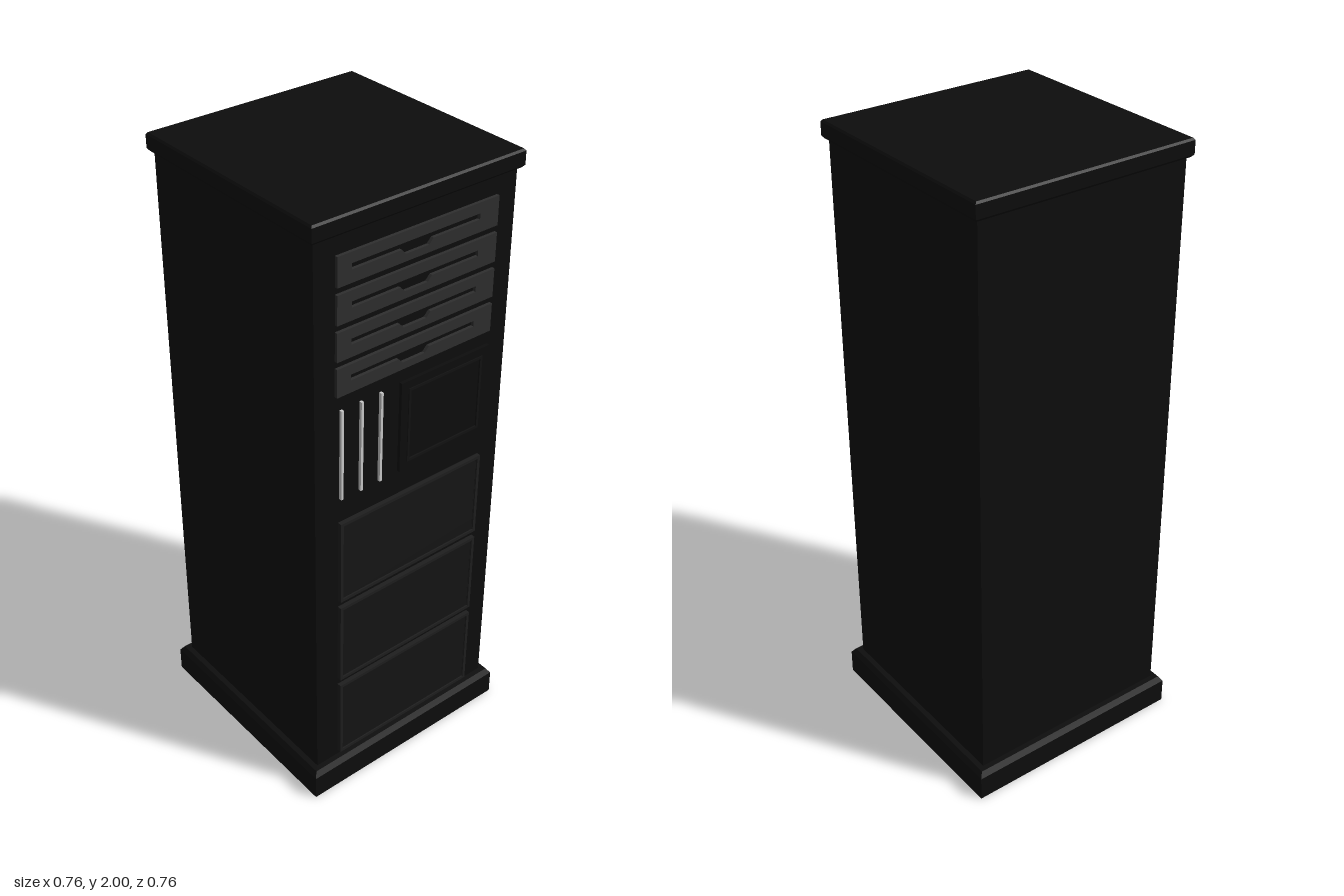
import * as THREE from 'three';

const paint = (color) => new THREE.MeshStandardMaterial({ color, flatShading: true });
const black = paint(0x0d0d0d);
const darkTrim = paint(0x121212);
const frameGrey = paint(0x1e1e1e);
const driveGrey = paint(0x2e2e2e);
const silver = paint(0xcccccc);

const FRONT = 0.35; // front face of the cabinet

function add(parent, name, geometry, material, x = 0, y = 0, z = 0) {
  const mesh = new THREE.Mesh(geometry, material);
  mesh.name = name;
  mesh.position.set(x, y, z);
  parent.add(mesh);
  return mesh;
}

// Square block from [half width, height] profile points
function squareBlock(profile) {
  const points = profile.map(([half, y]) => new THREE.Vector2(half * Math.SQRT2, y));
  return new THREE.LatheGeometry(points, 4, Math.PI / 4);
}

function rectPath(path, w, h) {
  path.moveTo(-w / 2, -h / 2);
  path.lineTo(w / 2, -h / 2);
  path.lineTo(w / 2, h / 2);
  path.lineTo(-w / 2, h / 2);
  path.closePath();
  return path;
}

// Rectangular frame with an open middle
function frameGeometry(w, h, border, depth) {
  const shape = rectPath(new THREE.Shape(), w, h);
  shape.holes.push(rectPath(new THREE.Path(), w - 2 * border, h - 2 * border));
  return new THREE.ExtrudeGeometry(shape, { depth, bevelEnabled: false });
}

// Drive front with a long slot that dips in the middle for a finger grip
function driveGeometry() {
  const shape = rectPath(new THREE.Shape(), 0.56, 0.089);
  const slot = [
    [-0.232, -0.006], [-0.232, 0.012], [0.212, 0.012], [0.212, -0.006],
    [0.045, -0.006], [0.03, -0.022], [-0.05, -0.022], [-0.065, -0.006],
  ];
  shape.holes.push(new THREE.Path(slot.map(([x, y]) => new THREE.Vector2(x, y))));
  return new THREE.ExtrudeGeometry(shape, { depth: 0.01, bevelEnabled: false });
}

// Framed grille with tilted slats
function makeVent(index) {
  const vent = new THREE.Group();
  vent.name = `vent${index + 1}`;
  const w = 0.54, h = 0.291, border = 0.01, count = 7;
  add(vent, 'ventFrame', frameGeometry(w, h, border, 0.014), frameGrey);
  const pitch = (h - 2 * border) / count;
  const slat = new THREE.BoxGeometry(w - 2 * border, pitch * 0.9, 0.005);
  for (let i = 0; i < count; i++) {
    const y = -h / 2 + border + pitch * (i + 0.5);
    add(vent, 'ventSlat', slat, darkTrim, 0, y, 0.006).rotation.x = -0.2;
  }
  vent.position.set(0.002, 0.8915 - index * 0.315, FRONT);
  return vent;
}

export function createModel() {
  const model = new THREE.Group();
  model.name = 'serverCabinet';

  // Cabinet, plinth and lid
  add(model, 'cabinet', new THREE.BoxGeometry(0.7, 1.86, 0.7), black, 0, 1.02, 0);
  add(model, 'plinth', squareBlock([
    [0, 0], [0.38, 0], [0.38, 0.083], [0.368, 0.1], [0, 0.1],
  ]), black);
  add(model, 'lid', squareBlock([
    [0, 1.945], [0.358, 1.945], [0.365, 1.953], [0.365, 1.994], [0.36, 2], [0, 2],
  ]), black);

  // Four drive fronts
  const drive = driveGeometry();
  for (let i = 0; i < 4; i++) {
    add(model, 'driveFront', drive, driveGrey, 0, 1.843 - i * 0.1105, FRONT);
  }

  // Light strips
  const strip = new THREE.BoxGeometry(0.008, 0.298, 0.012);
  for (const x of [-0.26, -0.19, -0.12]) {
    add(model, 'lightStrip', strip, silver, x, 1.269, FRONT + 0.004);
  }

  // Display panel with raised border and inset plate
  const panel = new THREE.Group();
  panel.name = 'displayPanel';
  panel.position.set(0.115, 1.27, FRONT);
  add(panel, 'panelFrame', frameGeometry(0.33, 0.3, 0.028, 0.01), black);
  add(panel, 'panelRim', frameGeometry(0.278, 0.248, 0.008, 0.013), darkTrim);
  add(panel, 'panelPlate', new THREE.BoxGeometry(0.262, 0.232, 0.008), black, 0, 0, 0.004);
  model.add(panel);

  // Three lower vents
  for (let i = 0; i < 3; i++) model.add(makeVent(i));

  return model;
}
